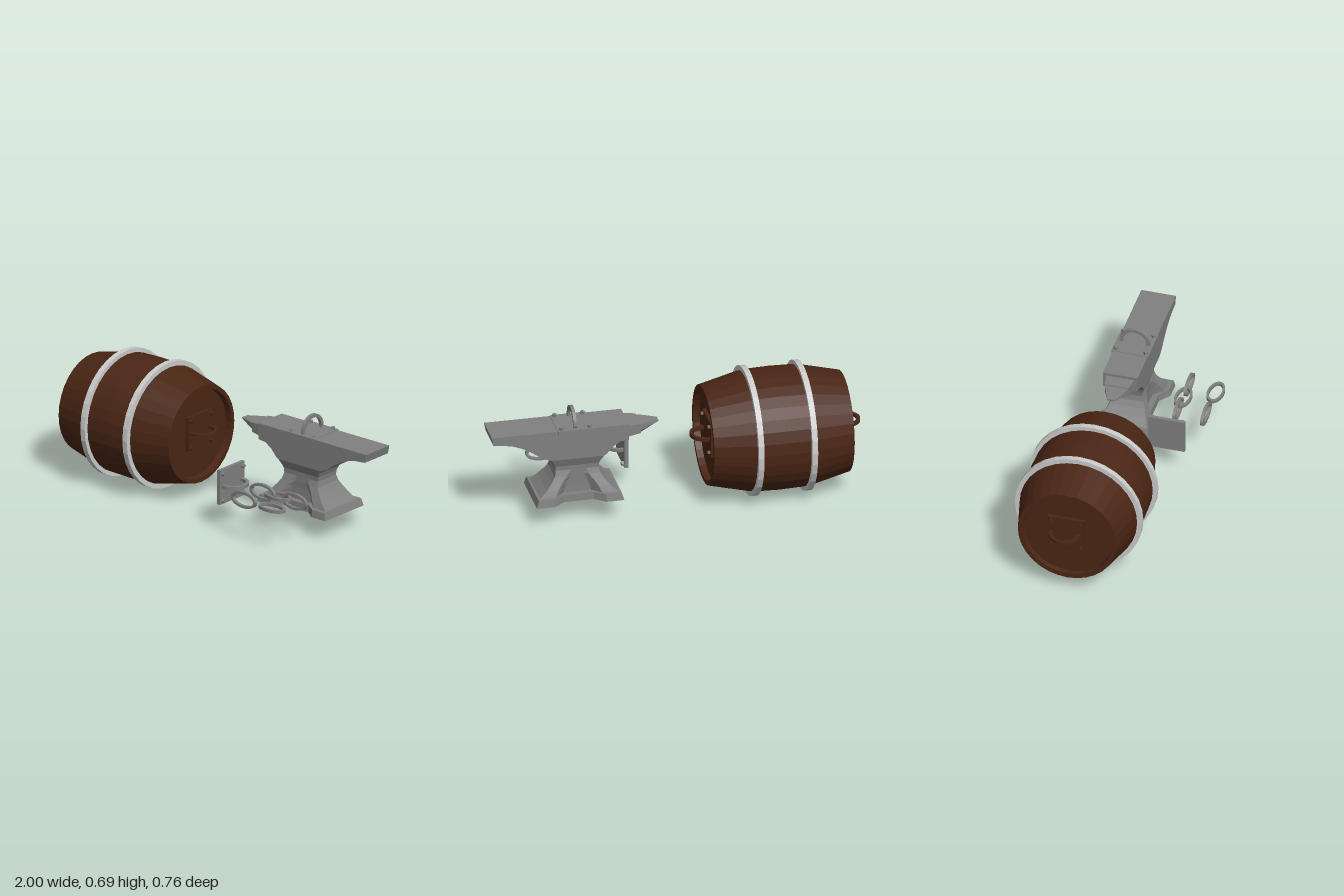
import * as THREE from 'three';

const material = (color) => new THREE.MeshStandardMaterial({ color, flatShading: true });
const wood = material(0x4a2614);
const iron = material(0x808080);
const steel = material(0xcccccc);

function add(parent, name, geometry, mat, x = 0, y = 0, z = 0) {
  const mesh = new THREE.Mesh(geometry, mat);
  mesh.name = name;
  mesh.position.set(x, y, z);
  parent.add(mesh);
  return mesh;
}

// Joins counter-clockwise outlines [x, y] stacked along z and closes both ends.
function loft(sections) {
  const n = sections[0].points.length;
  const positions = [];
  const index = [];
  for (const s of sections) for (const [x, y] of s.points) positions.push(x, y, s.at);
  for (let i = 0; i < sections.length - 1; i++) {
    for (let j = 0; j < n; j++) {
      const a = i * n + j, b = i * n + (j + 1) % n;
      index.push(a, b, b + n, a, b + n, a + n);
    }
  }
  const last = sections.length - 1;
  for (const i of [0, last]) {
    const pts = sections[i].points;
    const centre = positions.length / 3;
    const mid = (k) => pts.reduce((sum, p) => sum + p[k], 0) / n;
    positions.push(mid(0), mid(1), sections[i].at);
    for (let j = 0; j < n; j++) {
      const a = i * n + j, b = i * n + (j + 1) % n;
      if (i === 0) index.push(centre, b, a);
      else index.push(centre, a, b);
    }
  }
  const geometry = new THREE.BufferGeometry();
  geometry.setAttribute('position', new THREE.Float32BufferAttribute(positions, 3));
  geometry.setIndex(index);
  geometry.computeVertexNormals();
  return geometry;
}

const extrude = (shape, depth) =>
  new THREE.ExtrudeGeometry(shape, { depth, bevelEnabled: false, curveSegments: 12 })
    .translate(0, 0, -depth / 2);

const turned = (profile) =>
  new THREE.LatheGeometry(profile.map(([r, h]) => new THREE.Vector2(r, h)), 32).rotateZ(-Math.PI / 2);

// Bolted plate facing +x with an arched grip
function createHandle(name, mat) {
  const handle = new THREE.Group();
  handle.name = name;
  add(handle, 'plate', new THREE.BoxGeometry(0.02, 0.19, 0.2), mat, 0.01);
  for (const sy of [-1, 1]) {
    for (const sz of [-1, 1]) {
      const bolt = new THREE.CylinderGeometry(0.013, 0.013, 0.02, 4).rotateZ(-Math.PI / 2);
      add(handle, 'bolt', bolt, mat, 0.025, sy * 0.075, sz * 0.081);
    }
  }
  const arch = new THREE.Shape();
  arch.moveTo(0.01, -0.082);
  arch.absarc(0.028, 0, 0.082, -Math.PI / 2, Math.PI / 2, false);
  arch.lineTo(0.01, 0.082);
  arch.lineTo(0.01, 0.064);
  arch.absarc(0.028, 0, 0.064, Math.PI / 2, -Math.PI / 2, true);
  arch.lineTo(0.01, -0.064);
  add(handle, 'grip', extrude(arch, 0.017).rotateX(Math.PI / 2), mat);
  return handle;
}

function createBarrel() {
  const barrel = new THREE.Group();
  barrel.name = 'barrel';
  // Staves and both recessed heads in one turned profile
  add(barrel, 'staves', turned([
    [0, -0.35], [0.24, -0.35], [0.243, -0.375], [0.268, -0.375], [0.322, -0.15],
    [0.326, 0], [0.322, 0.14], [0.266, 0.375], [0.243, 0.375], [0.24, 0.34], [0, 0.34],
  ]), wood);
  for (const x of [-0.147, 0.14]) {
    add(barrel, 'hoop', turned([
      [0.315, -0.015], [0.345, -0.015], [0.345, 0.015], [0.315, 0.015],
    ]), steel, x);
  }
  for (const side of [-1, 1]) {
    const handle = createHandle('barrelHandle', wood);
    handle.position.set(side > 0 ? 0.34 : -0.35, 0.014, -0.012);
    if (side < 0) handle.rotation.y = Math.PI;
    barrel.add(handle);
  }
  barrel.position.set(-0.54, 0.346, -0.034);
  return barrel;
}

// Foot outline: a rectangle (a by b) with a notch in each long side
function footOutline(a, b, outer, inner, depth) {
  const quarter = [[a, b], [outer, b], [inner, b - depth]];
  const half = [...quarter, ...quarter.map(([x, y]) => [-x, y]).reverse()];
  return [...half, ...half.map(([x, y]) => [-x, -y])];
}

function createAnvil() {
  const anvil = new THREE.Group();
  anvil.name = 'anvil';
  const cx = 0.538, cz = -0.081;

  const base = loft([
    { at: 0.117, points: footOutline(0.234, 0.156, 0.14, 0.08, 0.046) },
    { at: 0.157, points: footOutline(0.222, 0.149, 0.14, 0.08, 0.042) },
  ]).rotateX(-Math.PI / 2);
  add(anvil, 'base', base, iron, cx, 0, cz);

  // Waist rows: height, half length, half width, notch outer, notch inner, notch depth
  const waist = loft([
    [0.155, 0.212, 0.126, 0.125, 0.075, 0.05],
    [0.19, 0.172, 0.112, 0.108, 0.065, 0.038],
    [0.225, 0.142, 0.096, 0.085, 0.052, 0.023],
    [0.255, 0.122, 0.083, 0.06, 0.036, 0.009],
    [0.285, 0.115, 0.073, 0.05, 0.03, 0],
    [0.31, 0.118, 0.074, 0.05, 0.03, 0],
    [0.335, 0.127, 0.084, 0.05, 0.03, 0],
    [0.362, 0.145, 0.094, 0.05, 0.03, 0],
  ].map(([at, ...outline]) => ({ at, points: footOutline(...outline) }))).rotateX(-Math.PI / 2);
  add(anvil, 'waist', waist, iron, cx, 0, cz);

  // Body with the curved heel
  const body = new THREE.Shape([
    [0.265, 0.524], [0.265, 0.435], [0.31, 0.43], [0.35, 0.405], [0.385, 0.365], [0.4, 0.357],
    [0.68, 0.357], [0.73, 0.376], [0.78, 0.412], [0.83, 0.442], [0.88, 0.462],
    [0.93, 0.473], [0.99, 0.478], [1, 0.524],
  ].map(([x, y]) => new THREE.Vector2(x, y)));
  add(anvil, 'body', extrude(body, 0.188), iron, 0, 0, cz);

  // Horn and its shoulder: x, half width, bottom, top
  const hornPart = (rows, round) => loft(rows.map(([x, w, bottom, top]) => {
    const mid = bottom + (top - bottom) * round;
    const under = round ? w * 0.55 : w;
    return {
      at: -x,
      points: [[w, top], [-w, top], [-w, mid], [-under, bottom], [under, bottom], [w, mid]],
    };
  })).rotateY(-Math.PI / 2);
  add(anvil, 'hornShoulder', hornPart([[0.27, 0.077, 0.433, 0.508], [0.195, 0.064, 0.442, 0.504]], 0.15),
    iron, 0, 0, cz);
  add(anvil, 'horn', hornPart([
    [0.22, 0.068, 0.436, 0.5], [0.18, 0.058, 0.447, 0.499],
    [0.14, 0.042, 0.464, 0.497], [0.09, 0.02, 0.485, 0.494],
  ], 0.45), iron, 0, 0, cz);

  const handle = createHandle('anvilHandle', iron);
  handle.rotation.z = Math.PI / 2;
  handle.position.set(0.551, 0.507, cz - 0.002);
  anvil.add(handle);
  return anvil;
}

function createChain() {
  const chain = new THREE.Group();
  chain.name = 'chainLinks';
  const ring = new THREE.Shape().absellipse(0, 0, 0.085, 0.045, 0, Math.PI * 2);
  ring.holes.push(new THREE.Path().absellipse(0, 0, 0.07, 0.032, 0, Math.PI * 2));
  // Link rows: x, z, lying flat or upright
  for (const [x, z, flat] of [
    [0.437, 0.183, false], [0.54, 0.183, true], [0.655, 0.183, false],
    [0.437, 0.335, false], [0.627, 0.335, true],
  ]) {
    const link = add(chain, 'link', extrude(ring, 0.017), iron, x, 0.231, z);
    if (flat) link.rotation.x = Math.PI / 2;
  }
  return chain;
}

export function createModel() {
  const model = new THREE.Group();
  model.name = 'barrelAndAnvilSet';
  const looseHandle = createHandle('looseHandle', iron);
  looseHandle.position.set(0.21, 0.232, 0.184);
  model.add(createBarrel(), createAnvil(), looseHandle, createChain());
  return model;
}
